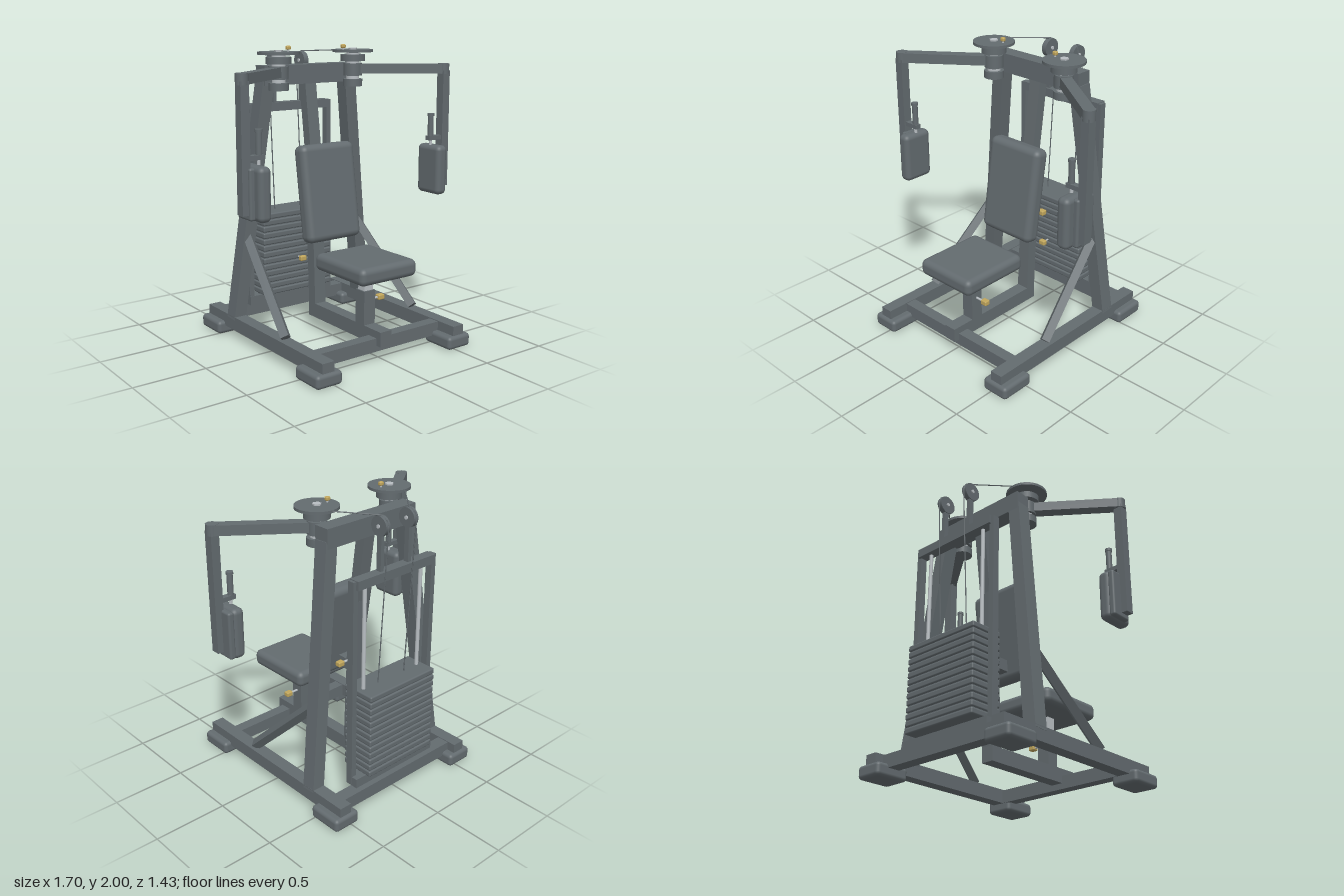
import * as THREE from 'three';
import { RoundedBoxGeometry } from 'three/addons/geometries/RoundedBoxGeometry.js';

const material = (name, color) => {
  const m = new THREE.MeshStandardMaterial({ color });
  m.name = name;
  return m;
};

export function createModel() {
  const group = new THREE.Group();
  const grey = material('dark grey', 0x636b6f);
  const chrome = material('chrome', 0xb8bec2);
  const gold = material('brass', 0xc2a75c);
  const V = (x, y, z) => new THREE.Vector3(x, y, z);

  const add = (name, geo, mat, x = 0, y = 0, z = 0) => {
    const mesh = new THREE.Mesh(geo, mat);
    mesh.name = name;
    mesh.position.set(x, y, z);
    group.add(mesh);
    return mesh;
  };
  // Box given by its extents on each axis
  const box = (name, x0, x1, y0, y1, z0, z1, mat = grey, r = 0) => {
    const s = [Math.abs(x1 - x0), y1 - y0, z1 - z0];
    const geo = r ? new RoundedBoxGeometry(...s, 3, r) : new THREE.BoxGeometry(...s);
    return add(name, geo, mat, (x0 + x1) / 2, (y0 + y1) / 2, (z0 + z1) / 2);
  };
  // Upright disc or rod between two heights
  const cyl = (name, r, x, y0, y1, z, mat = grey, n = 32) =>
    add(name, new THREE.CylinderGeometry(r, r, y1 - y0, n), mat, x, (y0 + y1) / 2, z);
  // Square tube leaning from a to b
  const tube = (name, a, b, w, d, twist = 0) => {
    const geo = new THREE.BoxGeometry(w, a.distanceTo(b), d).rotateY(twist);
    const mesh = add(name, geo, grey);
    mesh.position.copy(a).lerp(b, 0.5);
    mesh.quaternion.setFromUnitVectors(V(0, 1, 0), b.clone().sub(a).normalize());
    return mesh;
  };
  const knob = (name, x, y, z, sx = 0.05, sy = 0.036, sz = 0.042) =>
    add(name, new RoundedBoxGeometry(sx, sy, sz, 2, 0.008), gold, x, y, z);
  const rodX = (name, r, x0, x1, y, z, mat) =>
    add(name, new THREE.CylinderGeometry(r, r, Math.abs(x1 - x0), 20).rotateZ(Math.PI / 2), mat, (x0 + x1) / 2, y, z);

  // Base frame
  box('frontCrossbar', -0.5, 0.5, 0.06, 0.15, 0.46, 0.54);
  box('rearCrossbar', -0.5, 0.5, 0.06, 0.15, -0.64, -0.55);
  box('centreBeam', -0.045, 0.045, 0.1, 0.2, -0.22, 0.58);

  // Mast behind the backrest and the top beam
  tube('lowerMast', V(0, 0.18, -0.18), V(0, 1.27, -0.222), 0.09, 0.075);
  tube('upperMast', V(0, 1.24, -0.22), V(0, 1.78, -0.29), 0.09, 0.07);
  box('topBeam', -0.375, 0.375, 1.74, 1.87, -0.35, -0.24);

  // Seat
  box('seatPost', -0.045, 0.045, 0.19, 0.43, 0.32, 0.41);
  box('seatSlide', -0.035, 0.035, 0.42, 0.55, 0.333, 0.4, chrome);
  box('seat', -0.23, 0.23, 0.54, 0.655, 0.105, 0.62, grey, 0.04);
  rodX('seatPin', 0.008, 0.04, 0.11, 0.355, 0.365, chrome);
  knob('seatKnob', 0.125, 0.355, 0.365);

  // Backrest
  const back = add('backrest', new RoundedBoxGeometry(0.44, 0.66, 0.12, 4, 0.045), grey, 0, 1.018, -0.053);
  back.rotation.x = -0.147;
  box('backrestBracket', -0.04, 0.04, 0.74, 0.82, -0.17, -0.03);
  rodX('backrestPin', 0.008, 0.03, 0.11, 0.83, -0.195, chrome);
  knob('backrestKnob', 0.13, 0.83, -0.195);

  // Weight stack
  for (let i = 0; i < 13; i++) {
    const y = 0.252 + i * 0.0463;
    box('weightPlate', -0.29, 0.29, y - 0.02, y + 0.02, -0.655, -0.415, grey, 0.01);
  }
  box('stackCore', -0.28, 0.28, 0.24, 0.8, -0.645, -0.425);
  add('selectorPin', new THREE.CylinderGeometry(0.006, 0.006, 0.08, 12).rotateX(Math.PI / 2), chrome, 0, 0.478, -0.4);
  knob('selectorKnob', 0, 0.478, -0.36, 0.05, 0.036, 0.036);

  // Weight frame
  box('weightFrameBase', -0.355, 0.355, 0.15, 0.215, -0.6, -0.505);
  box('weightFrameTop', -0.335, 0.335, 1.535, 1.595, -0.575, -0.503);

  for (const s of [-1, 1]) {
    // Feet, side rails, leaning uprights and braces
    for (const z of [0.588, -0.598])
      add('foot', new RoundedBoxGeometry(0.195, 0.09, 0.245, 3, 0.025), grey, s * 0.54, 0.045, z);
    box('sideRail', s * 0.495, s * 0.585, 0.06, 0.155, -0.7, 0.69);
    tube('upright', V(s * 0.542, 0.13, -0.39), V(s * 0.337, 1.78, -0.297), 0.09, 0.1);
    tube('brace', V(s * 0.54, 0.17, 0.225), V(s * 0.468, 0.71, -0.335), 0.056, 0.056, Math.PI / 4);

    // Weight guides
    box('weightFramePost', s * 0.32, s * 0.357, 0.16, 1.59, -0.557, -0.508);
    cyl('guideRod', 0.013, s * 0.243, 0.2, 1.55, -0.535, chrome, 20);
    cyl('guideFoot', 0.026, s * 0.243, 0.2, 0.24, -0.535);

    // Pulley on its stalk
    box('pulleyStalk', s * 0.105, s * 0.131, 1.58, 1.87, -0.553, -0.517);
    rodX('pulley', 0.064, s * 0.1, s * 0.136, 1.88, -0.533, grey);
    rodX('pulleyBolt', 0.012, s * 0.092, s * 0.144, 1.88, -0.533, chrome);

    // Cable from cam disc over the pulley to the stack
    const path = new THREE.CurvePath();
    const pts = [V(s * 0.307, 1.957, -0.315), V(s * 0.118, 1.946, -0.535), V(s * 0.118, 1.927, -0.581),
      V(s * 0.118, 1.88, -0.598), V(s * 0.118, 0.82, -0.54)];
    for (let i = 1; i < pts.length; i++) path.add(new THREE.LineCurve3(pts[i - 1], pts[i]));
    add('cable', new THREE.TubeGeometry(path, 80, 0.004, 6), grey);

    // Pivot hub and cam disc
    const hx = s * 0.307, hz = -0.178;
    cyl('hubBase', 0.067, hx, 1.712, 1.762, hz);
    cyl('hubShaft', 0.045, hx, 1.75, 1.955, hz, chrome);
    cyl('hubSleeve', 0.064, hx, 1.785, 1.87, hz);
    cyl('hubCollar', 0.084, hx, 1.885, 1.93, hz);
    cyl('camDisc', 0.14, hx, 1.946, 1.964, hz, grey, 48);
    cyl('hubNut', 0.029, hx, 1.96, 1.974, hz, chrome, 6);
    knob('camKnob', s * 0.227, 1.987, hz - 0.005, 0.032, 0.026, 0.028);
    cyl('camPin', 0.007, s * 0.227, 1.955, 1.98, hz - 0.005, chrome, 12);

    // Swing arm
    const ex = s * 0.812, ez = 0.198;
    const len = Math.hypot(ex - hx, ez - hz);
    const arm = add('swingArm', new THREE.BoxGeometry(len, 0.066, 0.075), grey, (hx + ex) / 2, 1.832, (hz + ez) / 2);
    arm.rotation.y = -Math.atan2(ez - hz, ex - hx);
    cyl('armElbow', 0.04, ex, 1.797, 1.867, ez);
    box('armDrop', s * 0.782, s * 0.842, 1.01, 1.82, 0.17, 0.232);

    // Forearm pad and handle
    box('armPad', s * 0.677, s * 0.768, 0.965, 1.31, 0.09, 0.312, grey, 0.035);
    box('padPlate', s * 0.755, s * 0.8, 0.975, 1.3, 0.095, 0.25, grey, 0.015);
    box('handleBracket', s * 0.675, s * 0.79, 1.342, 1.372, 0.18, 0.222);
    cyl('handleStem', 0.011, s * 0.705, 1.29, 1.345, 0.2, chrome, 16);
    cyl('handleGrip', 0.02, s * 0.702, 1.35, 1.515, 0.2);
    cyl('handleCap', 0.024, s * 0.702, 1.51, 1.528, 0.2);
  }
  return group;
}
